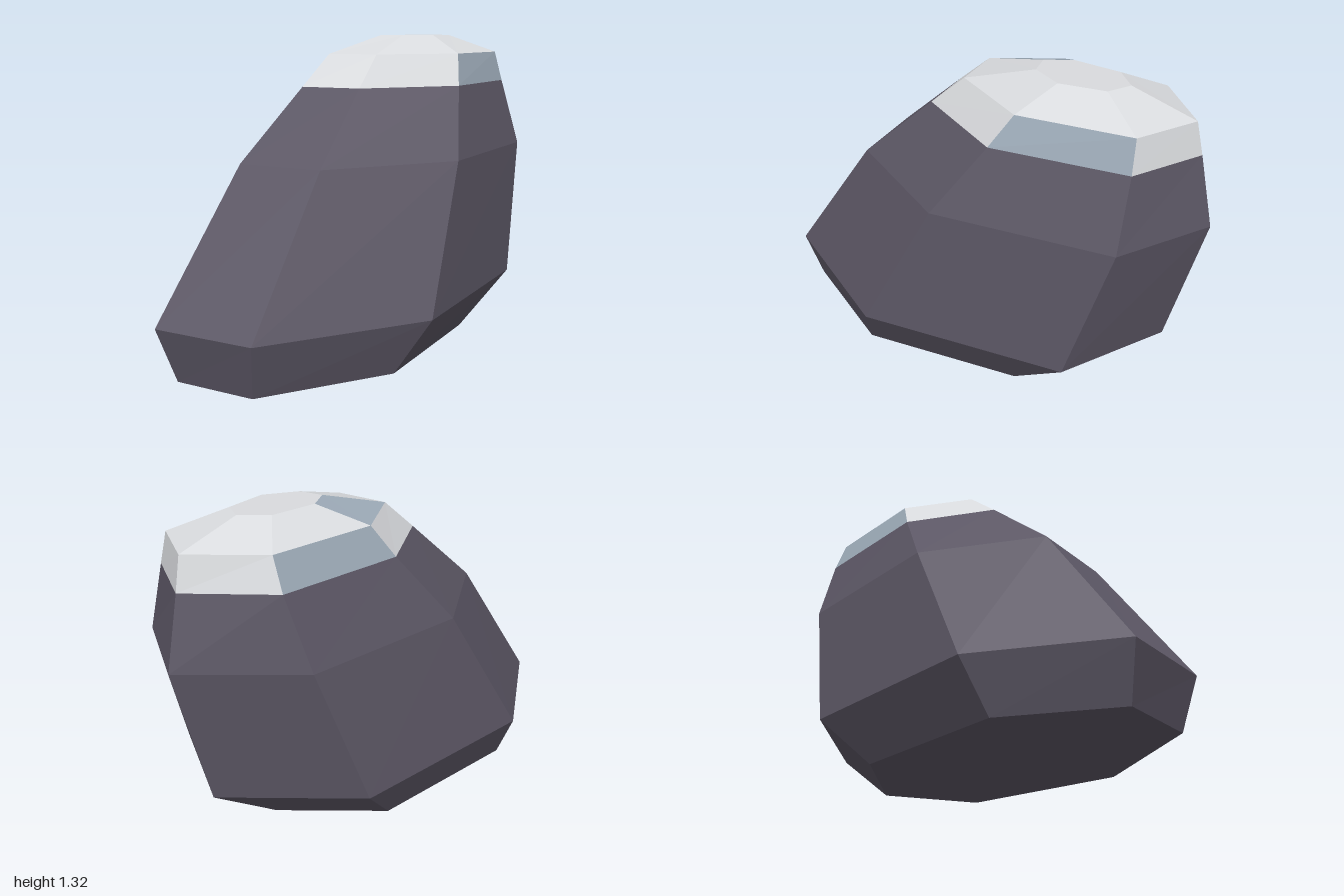
import * as THREE from 'three';

// Seven-sided cross-sections from the base to the summit: height and [x, z] corners
const rings = [
  { y: 0, p: [[-0.93, -0.16], [-0.87, 0.19], [-0.33, 0.43], [0.36, 0.28], [0.53, -0.1], [0.19, -0.43], [-0.53, -0.44]] },
  { y: 0.22, p: [[-1, -0.2], [-0.92, 0.24], [-0.24, 0.55], [0.64, 0.36], [0.85, -0.11], [0.41, -0.54], [-0.49, -0.55]] },
  { y: 0.81, p: [[-0.57, -0.17], [-0.5, 0.2], [0.06, 0.46], [0.81, 0.3], [1, -0.1], [0.62, -0.46], [-0.13, -0.47]] },
  { y: 1.105, p: [[-0.23, -0.14], [-0.18, 0.13], [0.25, 0.33], [0.8, 0.21], [0.935, -0.09], [0.67, -0.36], [0.1, -0.36]] },
  { y: 1.24, p: [[-0.07, -0.13], [-0.03, 0.1], [0.33, 0.27], [0.79, 0.175], [0.905, -0.08], [0.67, -0.31], [0.19, -0.31]] },
  { y: 1.32, p: [[0.23, -0.08], [0.26, 0.02], [0.4, 0.085], [0.59, 0.04], [0.635, -0.06], [0.54, -0.15], [0.33, -0.15]] },
];
const SIDES = 7;
const ALL = [0, 1, 2, 3, 4, 5, 6];

const corner = (r, i) => {
  const [x, z] = rings[r].p[i % SIDES];
  return [x, rings[r].y, z];
};

// Flat quads between ring r and ring r + 1 on the chosen sides
function band(r, sides) {
  const out = [];
  for (const i of sides) {
    const a = corner(r, i), b = corner(r, i + 1), c = corner(r + 1, i + 1), d = corner(r + 1, i);
    out.push(a, b, c, a, c, d);
  }
  return out;
}

// Flat polygon closing ring r, facing up or down
function cap(r, up) {
  const out = [];
  for (let i = 1; i < SIDES - 1; i++) {
    const b = corner(r, i), c = corner(r, i + 1);
    out.push(corner(r, 0), ...(up ? [b, c] : [c, b]));
  }
  return out;
}

function part(name, triangles, material) {
  const geometry = new THREE.BufferGeometry();
  geometry.setAttribute('position', new THREE.Float32BufferAttribute(triangles.flat(), 3));
  geometry.computeVertexNormals();
  const mesh = new THREE.Mesh(geometry, material);
  mesh.name = name;
  return mesh;
}

function createMaterial(name, color) {
  const material = new THREE.MeshStandardMaterial({ color });
  material.name = name;
  return material;
}

export function createModel() {
  const rock = createMaterial('slate rock', 0x5c5765);
  const snow = createMaterial('snow', 0xd9dbde);
  const ice = createMaterial('blue ice', 0x9dabb8);

  // Ice replaces snow on a few facets
  const icyRim = [2, 5], icySlope = [6];
  const without = (list) => ALL.filter((i) => !list.includes(i));

  const model = new THREE.Group();
  model.name = 'snowCappedRock';
  model.add(
    part('rockBase', [...cap(0, false), ...band(0, ALL)], rock),
    part('rockBody', [...band(1, ALL), ...band(2, ALL)], rock),
    part('snowRim', band(3, without(icyRim)), snow),
    part('iceRim', band(3, icyRim), ice),
    part('snowSlope', band(4, without(icySlope)), snow),
    part('iceSlope', band(4, icySlope), ice),
    part('snowTop', cap(5, true), snow),
  );
  return model;
}
